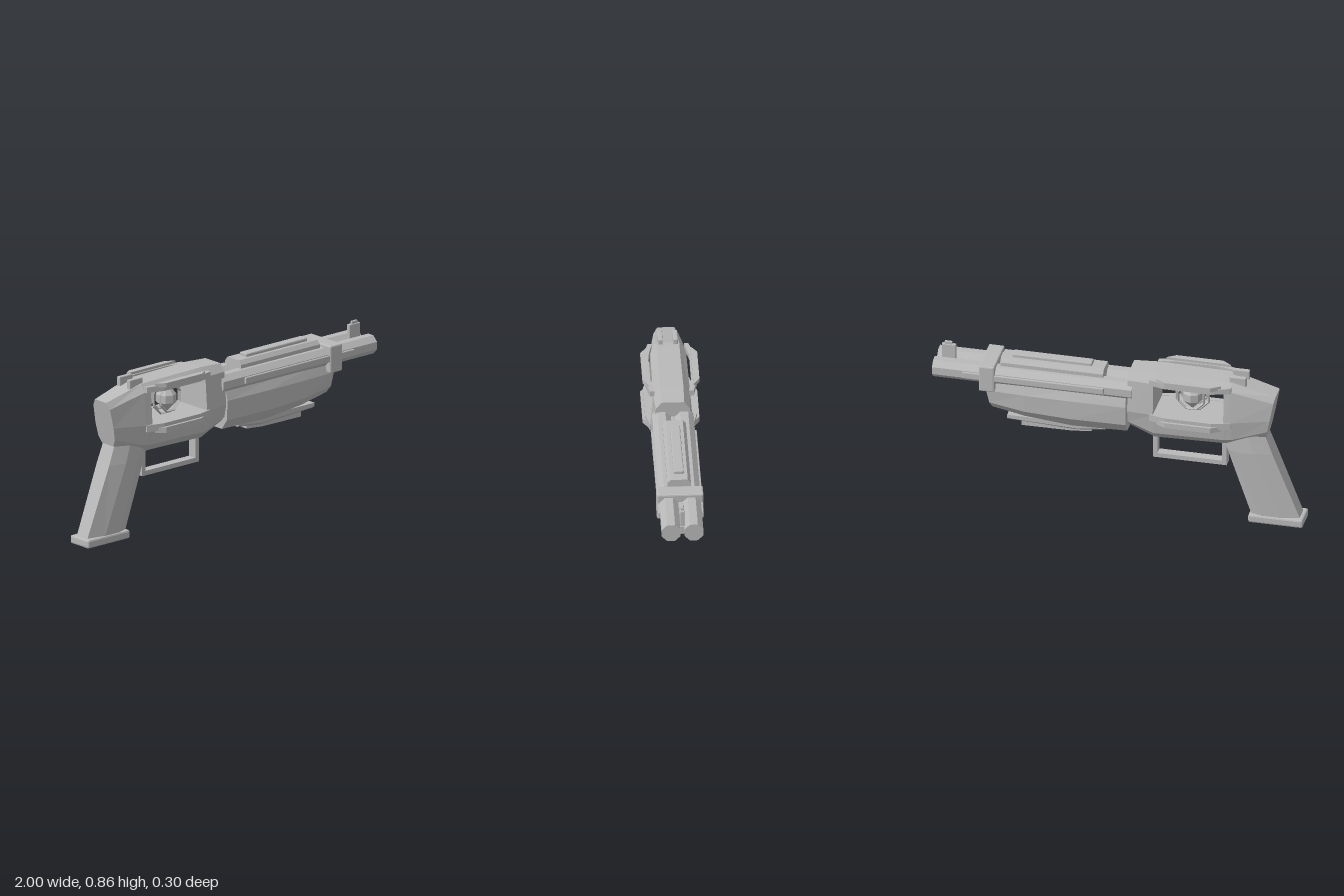
import * as THREE from 'three';
import { RoundedBoxGeometry } from 'three/addons/geometries/RoundedBoxGeometry.js';

const metal = new THREE.MeshStandardMaterial({ color: 0xb9b9b9 });
metal.name = 'grey metal';

export function createModel() {
  const model = new THREE.Group();
  model.name = 'blaster';

  // Faceted mesh: every face gets its own normal
  const add = (name, geometry, x = 0, y = 0, z = 0) => {
    const geo = geometry.index ? geometry.toNonIndexed() : geometry;
    geo.computeVertexNormals();
    const mesh = new THREE.Mesh(geo, metal);
    mesh.name = name;
    mesh.position.set(x, y, z);
    model.add(mesh);
    return mesh;
  };

  // Bevelled box given by its limits
  const block = (name, x0, x1, y0, y1, z0, z1, bevel = 0.006) =>
    add(name, new RoundedBoxGeometry(x1 - x0, y1 - y0, z1 - z0, 1, bevel),
      (x0 + x1) / 2, (y0 + y1) / 2, (z0 + z1) / 2);

  // Skin over mirrored cross-sections; each half point is [x, y, halfWidth].
  // skip(i, j) leaves a side panel open; extra quads may be added.
  const loft = (name, halves, skip = () => false, extra = []) => {
    const rings = halves.map(h => [...h, ...h.slice().reverse().map(([x, y, z]) => [x, y, -z])]);
    const pos = [];
    const quad = (a, b, c, d) => pos.push(...a, ...b, ...c, ...a, ...c, ...d);
    const n = rings[0].length;
    for (let i = 0; i < rings.length - 1; i++) {
      for (let j = 0; j < n; j++) {
        const k = (j + 1) % n;
        if (!skip(i, j)) quad(rings[i][j], rings[i + 1][j], rings[i + 1][k], rings[i][k]);
      }
    }
    const first = rings[0], last = rings[rings.length - 1];
    for (let j = 1; j < n - 1; j++) {
      pos.push(...first[0], ...first[j], ...first[j + 1]);
      pos.push(...last[0], ...last[j + 1], ...last[j]);
    }
    extra.forEach(q => quad(...q));
    const geo = new THREE.BufferGeometry();
    geo.setAttribute('position', new THREE.Float32BufferAttribute(pos, 3));
    return add(name, geo);
  };
  const at = (x, pairs) => pairs.map(([y, z]) => [x, y, z]);

  // Receiver with a window cut straight through it
  const body = [
    [[-0.8, 0.52, 0.045], [-0.808, 0.56, 0.066], [-0.822, 0.63, 0.072], [-0.842, 0.735, 0.066], [-0.85, 0.77, 0.045]],
    at(-0.62, [[0.46, 0.05], [0.5, 0.088], [0.61, 0.104], [0.79, 0.092], [0.83, 0.06]]),
    at(-0.58, [[0.455, 0.052], [0.495, 0.09], [0.61, 0.108], [0.79, 0.095], [0.832, 0.06]]),
    at(-0.2, [[0.45, 0.06], [0.49, 0.095], [0.61, 0.112], [0.79, 0.098], [0.838, 0.062]]),
    at(-0.06, [[0.51, 0.06], [0.54, 0.09], [0.61, 0.105], [0.79, 0.09], [0.83, 0.06]]),
  ];
  const corners = [body[2][2], body[3][2], body[3][3], body[2][3]];
  const back = ([x, y, z]) => [x, y, -z];
  const tunnel = corners.map((p, i) => {
    const q = corners[(i + 1) % 4];
    return [p, q, back(q), back(p)];
  });
  loft('receiver', body, (i, j) => i === 2 && (j === 2 || j === 6), tunnel);

  // Bowed guard rails above and below the window, on both sides
  const bow = (name, pts, y0, y1, side) => {
    const shape = new THREE.Shape(pts.map(([x, z]) => new THREE.Vector2(x, -z * side)));
    const geo = new THREE.ExtrudeGeometry(shape, { depth: y1 - y0, bevelEnabled: false });
    add(name, geo.rotateX(-Math.PI / 2), 0, y0, 0);
  };
  const railPath = [[-0.62, 0.085], [-0.62, 0.108], [-0.52, 0.136], [-0.27, 0.136],
    [-0.18, 0.116], [-0.18, 0.09], [-0.28, 0.108], [-0.51, 0.108]];
  const ridgePath = [[-0.57, 0.115], [-0.52, 0.15], [-0.27, 0.15], [-0.22, 0.118]];
  for (const side of [1, -1]) {
    bow('upperWindowRail', railPath, 0.79, 0.822, side);
    bow('upperRailRidge', ridgePath, 0.812, 0.836, side);
    bow('lowerWindowRail', railPath, 0.575, 0.612, side);
    bow('lowerRailRidge', ridgePath, 0.562, 0.592, side);
  }

  // Energy core: faceted gem inside octagonal rings
  const gem = [[0, -0.085], [0.055, -0.025], [0.055, 0.018], [0, 0.085]]
    .map(([r, y]) => new THREE.Vector2(r, y));
  add('coreGem', new THREE.LatheGeometry(gem, 8), -0.39, 0.7, 0);
  for (const [r, z] of [[0.094, 0], [0.074, 0.035], [0.074, -0.035]]) {
    const ring = new THREE.TorusGeometry(r, 0.007, 4, 8).rotateZ(Math.PI / 8);
    add('coreRing', ring, -0.39, 0.7, z);
  }

  // Twin octagonal barrels with side strips
  for (const side of [1, -1]) {
    const barrel = new THREE.CylinderGeometry(0.054, 0.054, 1.08, 8)
      .rotateY(Math.PI / 8).rotateZ(-Math.PI / 2);
    add('barrel', barrel, 0.455, 0.72, side * 0.06);
    block('barrelStrip', 0.065, 0.83, 0.7, 0.737, side * 0.108 - 0.012, side * 0.108 + 0.012, 0.004);
  }
  block('barrelRib', -0.08, 0.97, 0.695, 0.742, -0.011, 0.011, 0.003);
  block('barrelClamp', 0.655, 0.74, 0.637, 0.788, -0.123, 0.123, 0.008);

  // Top rail
  const topSection = x => at(x, [[0.735, 0.062], [0.79, 0.062], [0.812, 0.045]]);
  loft('topRail', [topSection(0.08), topSection(0.635)]);
  block('topRailRidge', 0.15, 0.58, 0.8, 0.83, -0.027, 0.027);

  // Sights
  block('frontSightBase', 0.89, 0.965, 0.74, 0.832, -0.011, 0.011, 0.003);
  block('frontSightPost', 0.91, 0.95, 0.82, 0.847, -0.007, 0.007, 0.002);
  for (const z of [0.04, -0.04]) block('rearSight', -0.69, -0.6, 0.8, 0.862, z - 0.012, z + 0.012, 0.004);

  // Fore grip under the barrels
  loft('foreGrip', [
    at(-0.05, [[0.465, 0.06], [0.52, 0.098], [0.63, 0.105], [0.68, 0.09]]),
    at(0.25, [[0.46, 0.064], [0.52, 0.104], [0.63, 0.108], [0.68, 0.09]]),
    at(0.5, [[0.485, 0.066], [0.53, 0.1], [0.63, 0.105], [0.68, 0.09]]),
    [[0.68, 0.518, 0.062], [0.69, 0.555, 0.088], [0.705, 0.63, 0.095], [0.71, 0.68, 0.08]],
  ]);

  // Plates beneath the fore grip
  loft('lowerRail', [
    at(0.07, [[0.448, 0.045], [0.46, 0.06], [0.475, 0.06]]),
    at(0.23, [[0.428, 0.045], [0.442, 0.06], [0.475, 0.06]]),
    at(0.6, [[0.445, 0.045], [0.456, 0.06], [0.475, 0.06]]),
  ]);
  loft('lowerRailRidge', [
    at(0.15, [[0.418, 0.03], [0.45, 0.03]]),
    at(0.26, [[0.408, 0.03], [0.45, 0.03]]),
    at(0.53, [[0.406, 0.03], [0.45, 0.03]]),
  ]);

  // Trigger guard frame
  const frame = new THREE.Shape([[-0.58, 0.305], [-0.18, 0.305], [-0.18, 0.465], [-0.58, 0.465]]
    .map(p => new THREE.Vector2(...p)));
  frame.holes.push(new THREE.Path([[-0.555, 0.33], [-0.555, 0.442], [-0.205, 0.442], [-0.205, 0.33]]
    .map(p => new THREE.Vector2(...p))));
  add('triggerGuard', new THREE.ExtrudeGeometry(frame, { depth: 0.05, bevelEnabled: false }), 0, 0, -0.025);

  // Slanted pistol grip, profiles run from front edge to back edge
  const gripSection = (y, front, rear, w) => [
    [front, y, w * 0.72], [front - (front - rear) * 0.22, y, w],
    [front - (front - rear) * 0.6, y, w], [rear, y, w * 0.65]];
  loft('pistolGrip', [
    gripSection(0.03, -0.722, -0.985, 0.064),
    gripSection(0.42, -0.592, -0.832, 0.075),
    gripSection(0.53, -0.56, -0.79, 0.068),
  ]);
  block('gripBase', -1, -0.705, 0, 0.047, -0.072, 0.072, 0.01);

  return model;
}
